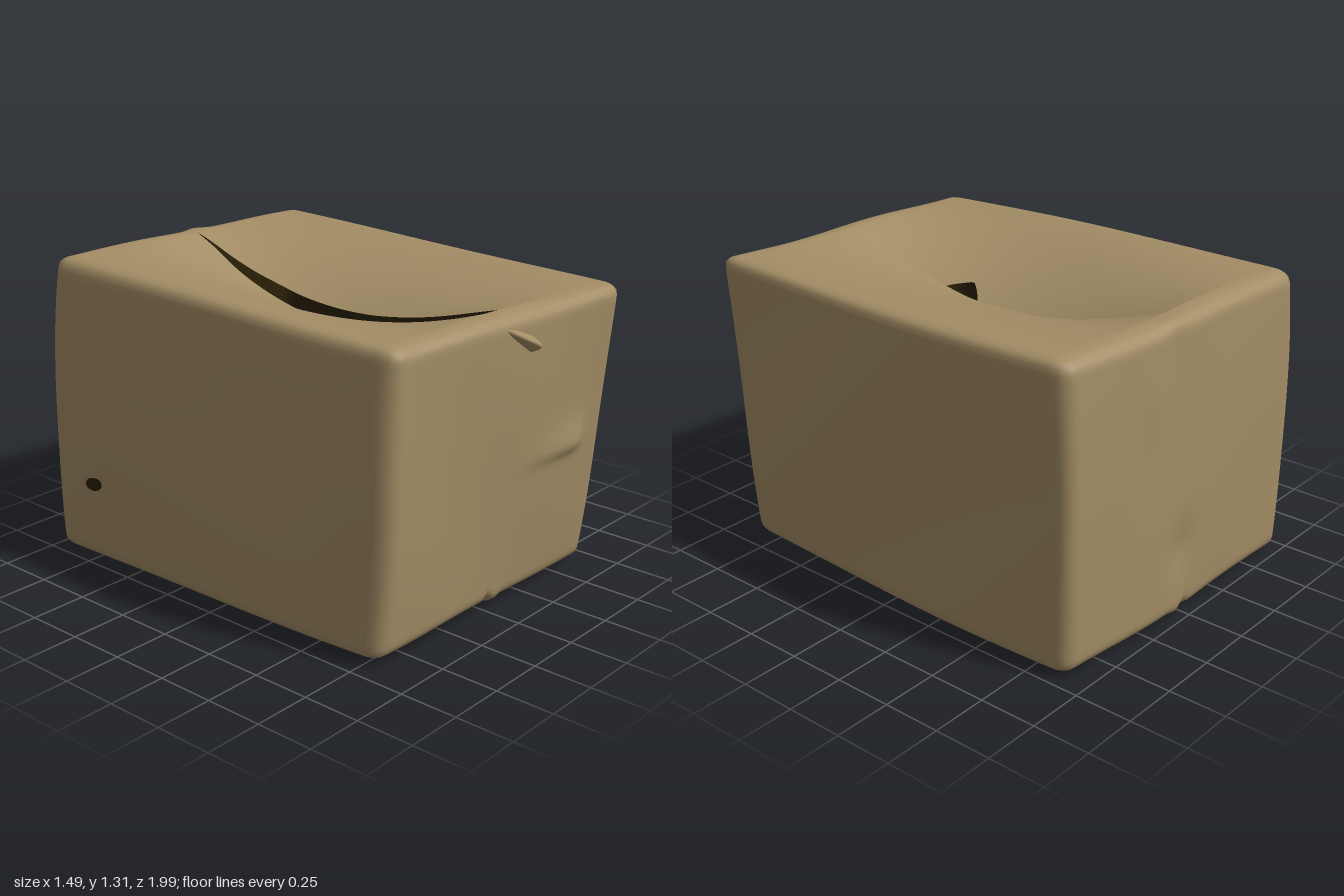
import * as THREE from 'three';
import { mergeVertices } from 'three/addons/utils/BufferGeometryUtils.js';

const HALF = [0.71, 0.64, 0.93]; // nominal half sizes of the carton
const RADII = [0.055, 0.045, 0.08]; // edge rounding along each axis
const INNER = HALF.map((h, i) => h - RADII[i]);

// Bent corners, as [x, y, z]: index = (right) + 2 * (top) + 4 * (front)
const CORNERS = [
  [-0.72, 0.02, -0.968], [0.715, 0.015, -0.925],
  [-0.65, 1.318, -0.99], [0.748, 1.308, -0.91],
  [-0.69, 0.036, 0.835], [0.68, 0.022, 0.85],
  [-0.665, 1.275, 0.88], [0.67, 1.275, 0.99],
];

const bell = (d, s) => Math.exp(-(d * d) / (s * s));

// Maps a point of the straight box to the worn, leaning box
function warp(x, y, z) {
  const [a, b, c] = [x / HALF[0], y / HALF[1], z / HALF[2]];
  const t = [a, b, c].map((n) => (n + 1) / 2);
  const p = new THREE.Vector3();
  CORNERS.forEach((corner, i) => {
    const k = (i & 1 ? t[0] : 1 - t[0]) * (i & 2 ? t[1] : 1 - t[1]) * (i & 4 ? t[2] : 1 - t[2]);
    p.addScaledVector(new THREE.Vector3(...corner), k);
  });
  // slight waviness, and walls that bulge
  p.x += 0.004 * Math.sin(5 * y + 4 * z) + 0.02 * a * (1 - c * c);
  if (a < 0) p.x += 0.035 * a * (1 - b * b) * (c > 0 ? 1 - c ** 4 : 1);
  p.y += 0.004 * Math.sin(7 * x + 3 * z);
  p.z += 0.004 * Math.sin(6 * x + 4 * y) + 0.015 * c * (1 - b * b);
  if (c < 0) p.z += 0.02 * c * (1 - a * a);
  // front fold
  const front = THREE.MathUtils.clamp((z - 0.8) / 0.1, 0, 1);
  const foldLength = p.x < 0.45 ? 0.22 : 0.05;
  const foldHeight = p.y > 0.625 ? 0.09 : 0.025;
  p.z += front * 0.026 * bell(p.x - 0.45, foldLength) * bell(p.y - 0.625, foldHeight);
  // back dents and a crinkle in the top edge
  const back = THREE.MathUtils.clamp((-z - 0.85) / 0.06, 0, 1);
  p.z += back * 0.018 * bell(p.x - 0.05, 0.08) * bell(p.y - 0.32, 0.12);
  p.z -= back * 0.008 * bell(p.x - 0.25, 0.07) * bell(p.y - 1.05, 0.15);
  if (y > 0.5) p.y += back * 0.012 * bell(p.x - 0.12, 0.06);
  // valley where the bottom flaps meet
  if (y < -0.55) {
    p.y += 0.022 * bell(p.x - 0.005, 0.02);
    p.y -= 0.012 * bell(p.x - 0.05, 0.03) * (Math.abs(z) > 0.8 ? 1 : 0);
  }
  return p;
}

// Rounded, open-topped box
function shell(scale) {
  let g = new THREE.BoxGeometry(HALF[0] * 2, HALF[1] * 2, HALF[2] * 2, 60, 50, 80);
  g.deleteAttribute('uv');
  g.deleteAttribute('normal');
  g = mergeVertices(g);
  const pos = g.attributes.position;
  // leave out the top between the rounded edges
  const keep = [];
  for (let i = 0; i < g.index.count; i += 3) {
    const ids = [0, 1, 2].map((k) => g.index.getX(i + k));
    const open = ids.every((a) => pos.getY(a) > HALF[1] - 0.001
      && Math.abs(pos.getX(a)) < INNER[0] + 0.001 && Math.abs(pos.getZ(a)) < INNER[2] + 0.001);
    if (!open) keep.push(...ids);
  }
  g.setIndex(keep);
  const radii = new THREE.Vector3(...RADII);
  const limit = new THREE.Vector3(...INNER);
  const floor = limit.clone().negate();
  for (let i = 0; i < pos.count; i++) {
    const p = new THREE.Vector3().fromBufferAttribute(pos, i);
    const c = p.clone().clamp(floor, limit);
    p.sub(c).divide(radii).normalize().multiply(radii).add(c).multiplyScalar(scale);
    const q = warp(p.x, p.y, p.z);
    pos.setXYZ(i, q.x, q.y, q.z);
  }
  g.computeVertexNormals();
  return g;
}

// Grid surface from f(u, v); it faces along du x dv
function patch(f, nu, nv) {
  const pts = [];
  const idx = [];
  for (let i = 0; i <= nu; i++) {
    for (let j = 0; j <= nv; j++) {
      pts.push(...f(i / nu, j / nv).toArray());
      if (i < nu && j < nv) {
        const a = i * (nv + 1) + j;
        const b = a + nv + 1;
        idx.push(a, b, b + 1, a, b + 1, a + 1);
      }
    }
  }
  const g = new THREE.BufferGeometry();
  g.setAttribute('position', new THREE.Float32BufferAttribute(pts, 3));
  g.setIndex(idx);
  g.computeVertexNormals();
  return g;
}

// Inner edges of the two top flaps, with the gap and the torn notch
const rightEdge = (z) => 0.028 - 0.006 * z + 0.003 * Math.sin(14 * z);
const leftEdge = (z) => rightEdge(z) - 0.002
  - 0.042 * Math.max(0, 1 - ((z + 0.05) / 0.66) ** 2)
  - 0.1 * Math.pow(Math.max(0, 1 - Math.abs(z - 0.24) / 0.1), 0.7);

// Sagging top flap: side -1 or +1
function flap(side, sag) {
  const ex = INNER[0] + 0.005;
  const ez = INNER[2] + 0.005;
  return patch((u, v) => {
    const z = -ez + 2 * ez * u;
    const x = side < 0
      ? THREE.MathUtils.lerp(-ex, leftEdge(z), v)
      : THREE.MathUtils.lerp(rightEdge(z), ex, v);
    const s = 1 - Math.abs(x - 0.03) / (ex - side * 0.03);
    const w = 1 - (z / ez) ** 2;
    const p = warp(x, HALF[1], z);
    p.y -= sag * Math.pow(Math.max(s, 0), 1.5) * Math.pow(Math.max(w, 0), 1.2);
    return p;
  }, 110, 20);
}

export function createModel() {
  const cardboard = new THREE.MeshStandardMaterial({ color: 0xa38d65, side: THREE.DoubleSide });
  cardboard.name = 'cardboard';
  const inside = new THREE.MeshStandardMaterial({ color: 0x2c2108, side: THREE.DoubleSide });
  inside.name = 'dark inside';

  const model = new THREE.Group();
  model.name = 'cardboardBox';
  const add = (name, geometry, material) => {
    const m = new THREE.Mesh(geometry, material);
    m.name = name;
    model.add(m);
  };

  add('boxWalls', shell(1), cardboard);
  add('boxLining', shell(0.97), inside);
  add('leftTopFlap', flap(-1, 0.25), cardboard);
  add('rightTopFlap', flap(1, 0.18), cardboard);

  // peeled tongue on the front, below the top edge
  add('peeledTongue', patch((u, v) => {
    const x = -0.07 + 0.17 * u;
    const y = 1.23 - 0.085 * u + (0.5 - v) * 0.07 * Math.sqrt(u);
    const p = warp(x, y - HALF[1], HALF[2]);
    p.z += 0.05 * u * Math.sin(Math.PI * v) - 0.002;
    return p;
  }, 10, 10), cardboard);

  // small puncture low on one side wall
  add('sideHole', patch((u, v) => {
    const a = 2 * Math.PI * u;
    const p = warp(-HALF[0], 0.35 - HALF[1] + v * (0.03 * Math.sin(a) + 0.01 * Math.cos(a)),
      -0.65 + v * 0.055 * Math.cos(a));
    p.x -= 0.004;
    return p;
  }, 20, 2), inside);

  // narrow slit between the bottom flaps
  add('bottomSlit', patch((u, v) => {
    const z = -0.25 + 0.45 * u;
    const p = warp(0.005 + (v - 0.5) * 0.016 * Math.sin(Math.PI * u), -HALF[1], z);
    p.y -= 0.004;
    return p;
  }, 20, 2), inside);

  return model;
}
